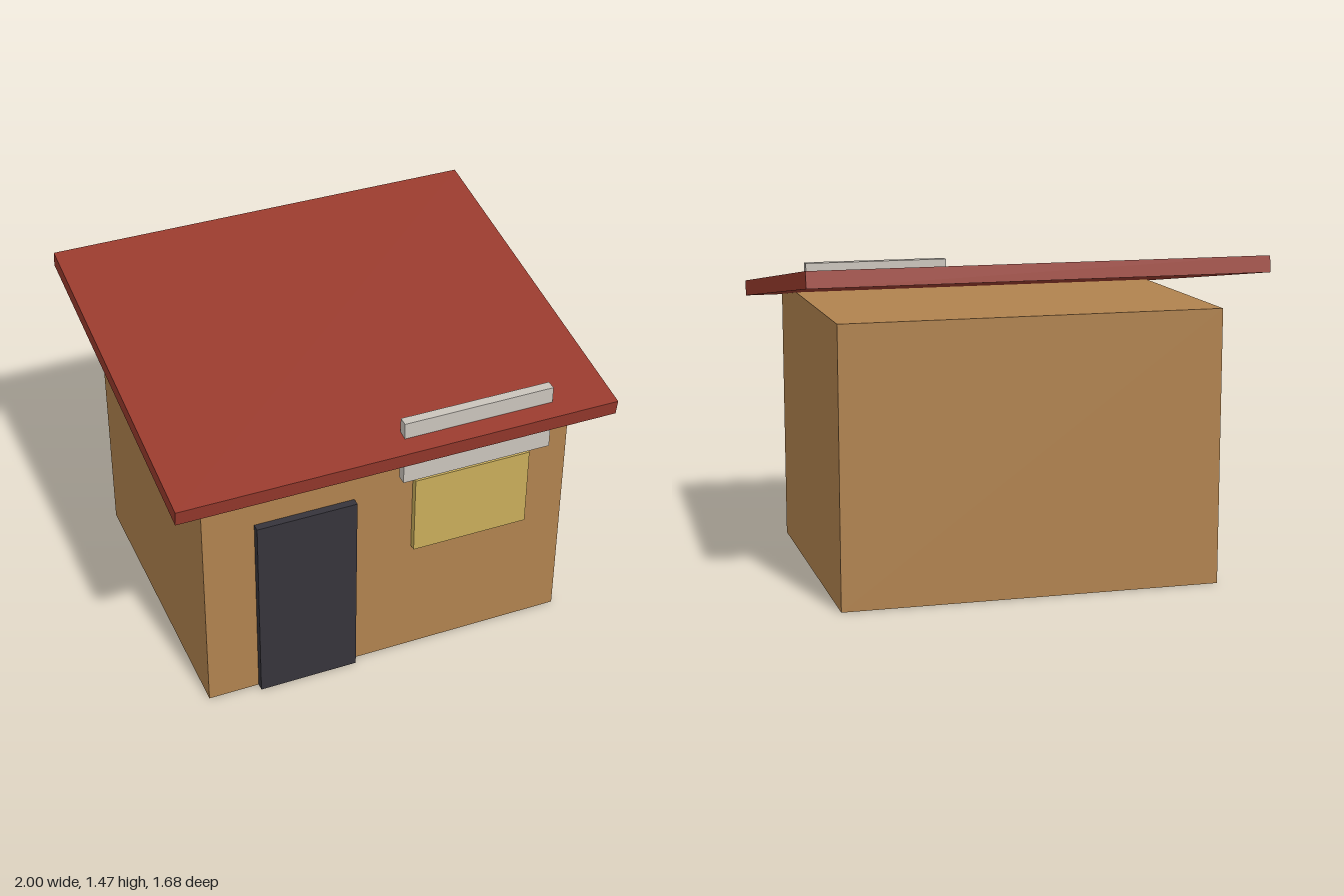
import * as THREE from 'three';

const material = (name, color) => {
  const m = new THREE.MeshStandardMaterial({ color });
  m.name = name;
  return m;
};

// Box given by its [min, max] range on each axis
function box(name, mat, [x0, x1], [y0, y1], [z0, z1]) {
  const mesh = new THREE.Mesh(new THREE.BoxGeometry(x1 - x0, y1 - y0, z1 - z0), mat);
  mesh.position.set((x0 + x1) / 2, (y0 + y1) / 2, (z0 + z1) / 2);
  mesh.name = name;
  return mesh;
}

export function createModel() {
  const group = new THREE.Group();
  group.name = 'smallShop';

  const wall = material('tan wall', 0xb0824e);
  const red = material('brick red', 0x983a2d);
  const dark = material('charcoal', 0x36343b);
  const yellow = material('window yellow', 0xc8ac5a);
  const pale = material('pale grey', 0xcac4bc);

  // Main block
  group.add(box('walls', wall, [-0.848, 0.848], [0, 1.232], [-0.69, 0.69]));

  // Single-pitch roof, sloping down towards the front
  const roof = box('roof', red, [-1, 1], [1.276, 1.348], [-0.845, 0.845]);
  roof.rotation.x = 0.15;
  group.add(roof);

  // Front details; the signboard passes through the roof overhang
  group.add(box('door', dark, [-0.615, -0.16], [0, 0.923], [0.68, 0.725]));
  group.add(box('window', yellow, [0.112, 0.654], [0.58, 0.962], [0.68, 0.721]));
  group.add(box('signboard', pale, [0.038, 0.728], [1.0, 1.31], [0.71, 0.755]));

  return group;
}
